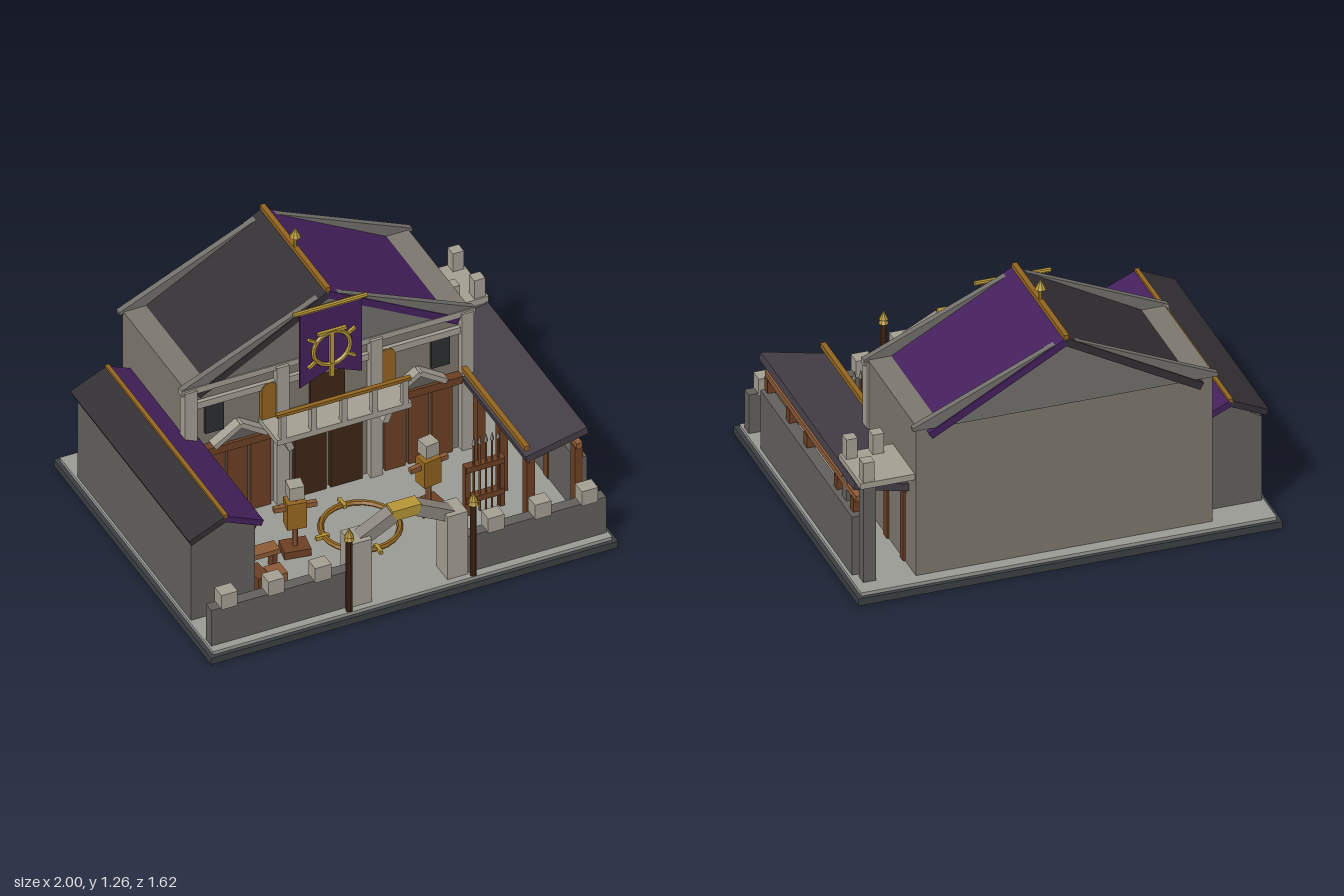
import * as THREE from 'three';

const C = {
  base: 0x3c4042, floor: 0x9a9a95, light: 0xa39e92, stone: 0x8a867d, wall: 0x7c776d, dark: 0x62605c,
  gable: 0x716f6a, slate: 0x322f33, shed: 0x443e46, purple: 0x44205c, brown: 0x6b3f24, darkBrown: 0x3f2616,
  timber: 0x8c5a36, amber: 0x93651f, gold: 0xb59535, glass: 0x2b2e31,
};
const mats = {};
const mat = (c) => (mats[c] ??= new THREE.MeshStandardMaterial({ color: C[c], flatShading: true, side: THREE.DoubleSide }));

export function createModel() {
  const root = new THREE.Group();

  const add = (name, geo, c, parent = root) => {
    const m = new THREE.Mesh(geo, mat(c));
    m.name = name;
    parent.add(m);
    return m;
  };
  const group = (name, x = 0, y = 0, z = 0) => {
    const g = new THREE.Group();
    g.name = name;
    g.position.set(x, y, z);
    root.add(g);
    return g;
  };
  // box given by its limits on each axis
  const box = (name, c, x0, x1, y0, y1, z0, z1, parent) => {
    const m = add(name, new THREE.BoxGeometry(Math.abs(x1 - x0), y1 - y0, Math.abs(z1 - z0)), c, parent);
    m.position.set((x0 + x1) / 2, (y0 + y1) / 2, (z0 + z1) / 2);
    return m;
  };
  // slab whose centre line runs from (xa, ya) to (xb, yb), extended along z
  const slab = (name, c, xa, ya, xb, yb, t, z0, z1, parent) => {
    const m = add(name, new THREE.BoxGeometry(Math.hypot(xb - xa, yb - ya), t, z1 - z0), c, parent);
    m.position.set((xa + xb) / 2, (ya + yb) / 2, (z0 + z1) / 2);
    m.rotation.z = Math.atan2(yb - ya, xb - xa);
    return m;
  };
  // outline in x and y extruded along z
  const plate = (name, c, pts, z0, z1, parent) => {
    const s = new THREE.Shape(pts.map(([x, y]) => new THREE.Vector2(x, y)));
    const m = add(name, new THREE.ExtrudeGeometry(s, { depth: z1 - z0, bevelEnabled: false }), c, parent);
    m.position.z = z0;
    return m;
  };
  // round-topped panel standing on its origin
  const arch = (name, c, w, h, d, parent) => {
    const s = new THREE.Shape();
    s.moveTo(-w / 2, 0);
    s.lineTo(w / 2, 0);
    s.lineTo(w / 2, h - w / 2);
    s.absarc(0, h - w / 2, w / 2, 0, Math.PI, false);
    s.lineTo(-w / 2, 0);
    return add(name, new THREE.ExtrudeGeometry(s, { depth: d, bevelEnabled: false, curveSegments: 8 }), c, parent);
  };
  const rod = (name, c, r0, r1, h, x, y, z, parent, n = 8) => {
    const m = add(name, new THREE.CylinderGeometry(r1, r0, h, n), c, parent);
    m.position.set(x, y + h / 2, z);
    return m;
  };

  // ground
  box('base', 'base', -1, 1, 0, 0.035, -0.81, 0.81);
  box('courtyardFloor', 'floor', -0.98, 0.98, 0.035, 0.052, -0.79, 0.79);

  // main hall with gable ends and two roof panels
  box('hallWalls', 'wall', -0.7, 0.7, 0.05, 0.818, -0.73, -0.1);
  for (const z of [-0.75, -0.11])
    plate('gableEnd', 'gable', [[-0.72, 0.805], [0.72, 0.805], [0.72, 0.82], [0, 1.14], [-0.72, 0.82]], z, z + 0.03);
  for (const s of [-1, 1])
    slab('hallRoof', s > 0 ? 'purple' : 'slate', 0, 1.125, s * 0.64, 0.77, 0.036, -0.757, -0.076);
  box('hallRidge', 'amber', -0.012, 0.012, 1.14, 1.163, -0.76, -0.08);
  rod('finialPole', 'gold', 0.008, 0.008, 0.07, 0, 1.15, -0.42);
  rod('finialTip', 'gold', 0.027, 0, 0.05, 0, 1.215, -0.42);

  // facade frame
  box('eaveBeam', 'light', -0.72, 0.72, 0.79, 0.82, -0.11, -0.075);
  box('upperBeam', 'light', -0.71, 0.71, 0.695, 0.73, -0.11, -0.08);
  box('lowerBeam', 'brown', -0.65, 0.65, 0.435, 0.475, -0.11, -0.055);
  for (const s of [-1, 1]) {
    box('cornerPost', 'light', s * 0.65, s * 0.71, 0.05, 0.81, -0.12, -0.065);
    box('middlePost', 'light', s * 0.2, s * 0.26, 0.05, 0.81, -0.12, -0.06);
    arch('hallWindow', 'glass', 0.09, 0.19, 0.02).position.set(s * 0.555, 0.54, -0.105);
    arch('shutter', 'amber', 0.075, 0.21, 0.03).position.set(s * 0.29, 0.52, -0.105);
    box('mainDoorLeaf', 'darkBrown', s * 0.01, s * 0.165, 0.05, 0.43, -0.11, -0.075);
    for (let i = 0; i < 3; i++) {
      const x = s * (0.33 + i * 0.115);
      box('sideDoor', 'brown', x - 0.05, x + 0.05, 0.05, 0.43, -0.11, -0.08);
    }
    // small pediment over the side doors
    plate('pediment', 'dark', [[s * 0.44 - 0.11, 0.475], [s * 0.44 + 0.11, 0.475], [s * 0.44, 0.56]], -0.11, -0.07);
    for (const k of [-1, 1])
      slab('pedimentEdge', 'light', s * 0.44, 0.56, s * 0.44 + k * 0.13, 0.475, 0.025, -0.11, -0.05);
  }
  arch('balconyDoor', 'darkBrown', 0.17, 0.22, 0.02).position.set(0, 0.52, -0.105);

  // balcony
  const balcony = group('balcony');
  box('balconyFloor', 'light', -0.33, 0.33, 0.505, 0.535, -0.1, 0.09, balcony);
  for (let i = 0; i < 5; i++) {
    const x = -0.3 + i * 0.15;
    box('balusterPost', 'light', x - 0.014, x + 0.014, 0.53, 0.66, 0.06, 0.09, balcony);
  }
  box('frontRail', 'amber', -0.33, 0.33, 0.655, 0.672, 0.066, 0.088, balcony);
  for (const s of [-1, 1]) {
    slab('balconyBrace', 'light', s * 0.23, 0.41, s * 0.27, 0.51, 0.03, -0.08, 0.03, balcony);
  }

  // banner with ring ornament
  const banner = group('banner');
  plate('bannerCloth', 'purple', [[-0.153, 1.08], [-0.153, 0.67], [0, 0.735], [0.153, 0.67], [0.153, 1.08]], -0.06, -0.052, banner);
  rod('bannerRod', 'gold', 0.012, 0.012, 0.36, 0, 0.9, -0.06, banner).rotation.z = Math.PI / 2;
  const ring = add('bannerRing', new THREE.TorusGeometry(0.09, 0.011, 6, 20), 'gold', banner);
  ring.position.set(0, 0.855, -0.043);
  box('ornamentBar', 'gold', -0.01, 0.01, 0.7, 0.955, -0.05, -0.035, banner);
  box('ornamentTop', 'gold', -0.07, 0.07, 0.94, 0.955, -0.05, -0.035, banner);
  for (const a of [-0.6, 0.6, Math.PI - 0.6, Math.PI + 0.6])
    slab('ornamentSpoke', 'gold', 0.09 * Math.cos(a), 0.855 + 0.09 * Math.sin(a),
      0.14 * Math.cos(a), 0.855 + 0.14 * Math.sin(a), 0.013, -0.05, -0.036, banner);

  // ring set on the courtyard floor
  const floorRing = group('floorRing', 0, 0.06, 0.25);
  add('floorRingBand', new THREE.TorusGeometry(0.177, 0.014, 6, 24), 'amber', floorRing).rotation.x = Math.PI / 2;
  for (let i = 0; i < 4; i++) {
    const m = add('floorRingSpoke', new THREE.BoxGeometry(0.065, 0.018, 0.016), 'gold', floorRing);
    m.position.set(0.187 * Math.cos(i * Math.PI / 2), 0.004, 0.187 * Math.sin(i * Math.PI / 2));
    m.rotation.y = i * Math.PI / 2;
  }

  // left-hand wing with its own pitched roof
  const wing = group('sideWing');
  box('wingWalls', 'dark', -0.97, -0.655, 0.05, 0.48, -0.63, 0.54, wing);
  plate('wingGable', 'dark', [[-0.97, 0.48], [-0.655, 0.48], [-0.813, 0.58]], -0.63, 0.54, wing);
  slab('wingRoof', 'slate', -0.815, 0.588, -0.99, 0.508, 0.03, -0.65, 0.575, wing);
  slab('wingRoof', 'purple', -0.815, 0.588, -0.635, 0.508, 0.03, -0.65, 0.575, wing);
  box('wingRidge', 'amber', -0.825, -0.805, 0.593, 0.612, -0.65, 0.575, wing);
  for (const [z, c, w, h, y] of [[0.09, 'glass', 0.06, 0.16, 0.2], [0.25, 'brown', 0.11, 0.3, 0.05], [0.43, 'glass', 0.06, 0.16, 0.2]]) {
    const m = arch(c === 'glass' ? 'wingWindow' : 'wingDoor', c, w, h, 0.02, wing);
    m.position.set(-0.66, y, z);
    m.rotation.y = Math.PI / 2;
  }

  // open shed on the opposite side
  const shed = group('shed');
  box('shedWall', 'dark', 0.91, 0.965, 0.05, 0.35, -0.63, 0.56, shed);
  slab('shedRoof', 'shed', 0.655, 0.445, 0.958, 0.512, 0.036, -0.64, 0.585, shed);
  box('shedInnerBeam', 'amber', 0.648, 0.672, 0.495, 0.52, -0.07, 0.585, shed);
  for (const x of [0.69, 0.925]) {
    box('shedBeam', 'timber', x - 0.015, x + 0.015, 0.41, 0.44, -0.61, 0.57, shed);
    for (const z of [0.54, 0.26, 0.03, -0.36, -0.57])
      box('shedPost', 'brown', x - 0.02, x + 0.02, 0.05, 0.415, z - 0.022, z + 0.022, shed);
  }

  // watch platform at the back corner
  const tower = group('watchPlatform');
  box('platformFloor', 'light', 0.7, 0.955, 0.535, 0.565, -0.715, -0.43, tower);
  for (const z of [-0.46, -0.68]) box('platformPost', 'dark', 0.88, 0.94, 0.05, 0.54, z - 0.028, z + 0.028, tower);
  for (const [x, z] of [[0.915, -0.685], [0.915, -0.465], [0.79, -0.465]])
    box('platformMerlon', 'light', x - 0.027, x + 0.027, 0.565, 0.665, z - 0.027, z + 0.027, tower);

  // front wall and gateway
  const gate = group('gateway');
  for (const s of [-1, 1]) {
    box('frontWall', 'dark', s * 0.25, s * 0.97, 0.05, 0.25, 0.695, 0.75, gate);
    for (const x of [0.425, 0.655, 0.885])
      box('merlon', 'light', s * x - 0.04, s * x + 0.04, 0.245, 0.325, 0.69, 0.76, gate);
    box('gatePillar', 'light', s * 0.185, s * 0.285, 0.05, 0.4, 0.645, 0.76, gate);
    slab('gateArch', 'stone', s * 0.22, 0.375, s * 0.06, 0.46, 0.06, 0.67, 0.735, gate);
    // banner pole beside the gate
    rod('gatePole', 'darkBrown', 0.016, 0.016, 0.4, s * 0.305, 0.05, 0.775, gate);
    rod('gatePoleCollar', 'gold', 0.024, 0.004, 0.03, s * 0.305, 0.445, 0.775, gate);
    rod('gatePoleTip', 'gold', 0.022, 0, 0.045, s * 0.305, 0.465, 0.775, gate);
  }
  box('keystone', 'gold', -0.07, 0.07, 0.44, 0.495, 0.665, 0.735, gate);

  // training dummies
  for (const [x, z, a] of [[-0.335, 0.28, -0.17], [0.335, 0.25, 0.17]]) {
    const d = group('trainingDummy', x, 0, z);
    d.rotation.y = a;
    box('dummyBase', 'brown', -0.062, 0.062, 0.05, 0.09, -0.05, 0.05, d);
    rod('dummyPost', 'timber', 0.014, 0.014, 0.3, 0, 0.08, 0, d);
    box('dummyBody', 'amber', -0.045, 0.045, 0.2, 0.34, -0.035, 0.035, d);
    box('dummyArms', 'timber', -0.1, 0.1, 0.29, 0.315, -0.012, 0.012, d);
    box('dummyHead', 'light', -0.035, 0.035, 0.36, 0.43, -0.035, 0.035, d);
  }

  // weapon rack with leaning spears
  const rack = group('weaponRack');
  for (const y of [0.12, 0.29]) box('rackRail', 'brown', 0.46, 0.65, y, y + 0.03, 0.34, 0.38, rack);
  for (const x of [0.47, 0.64]) box('rackPost', 'brown', x - 0.012, x + 0.012, 0.05, 0.32, 0.345, 0.375, rack);
  for (let i = 0; i < 5; i++) {
    const x = 0.5 + i * 0.03;
    rod('spearShaft', 'timber', 0.005, 0.005, 0.38, x, 0.06, 0.37, rack, 6);
    rod('spearHead', 'stone', 0.011, 0, 0.045, x, 0.435, 0.37, rack, 4);
  }

  // bench, crates and round target beside the wing
  const store = group('stores');
  box('benchTop', 'timber', -0.62, -0.45, 0.14, 0.165, 0.3, 0.37, store);
  for (const x of [-0.6, -0.47]) box('benchLeg', 'brown', x - 0.012, x + 0.012, 0.05, 0.145, 0.31, 0.36, store);
  box('crate', 'timber', -0.555, -0.475, 0.05, 0.13, 0.415, 0.5, store);
  const tilted = box('crate', 'brown', -0.63, -0.57, 0.05, 0.15, 0.4, 0.51, store);
  tilted.rotation.y = 0.1;
  rod('roundTarget', 'darkBrown', 0.055, 0.055, 0.025, -0.605, 0.32, 0.335, store, 14).rotation.x = Math.PI / 2;

  return root;
}
